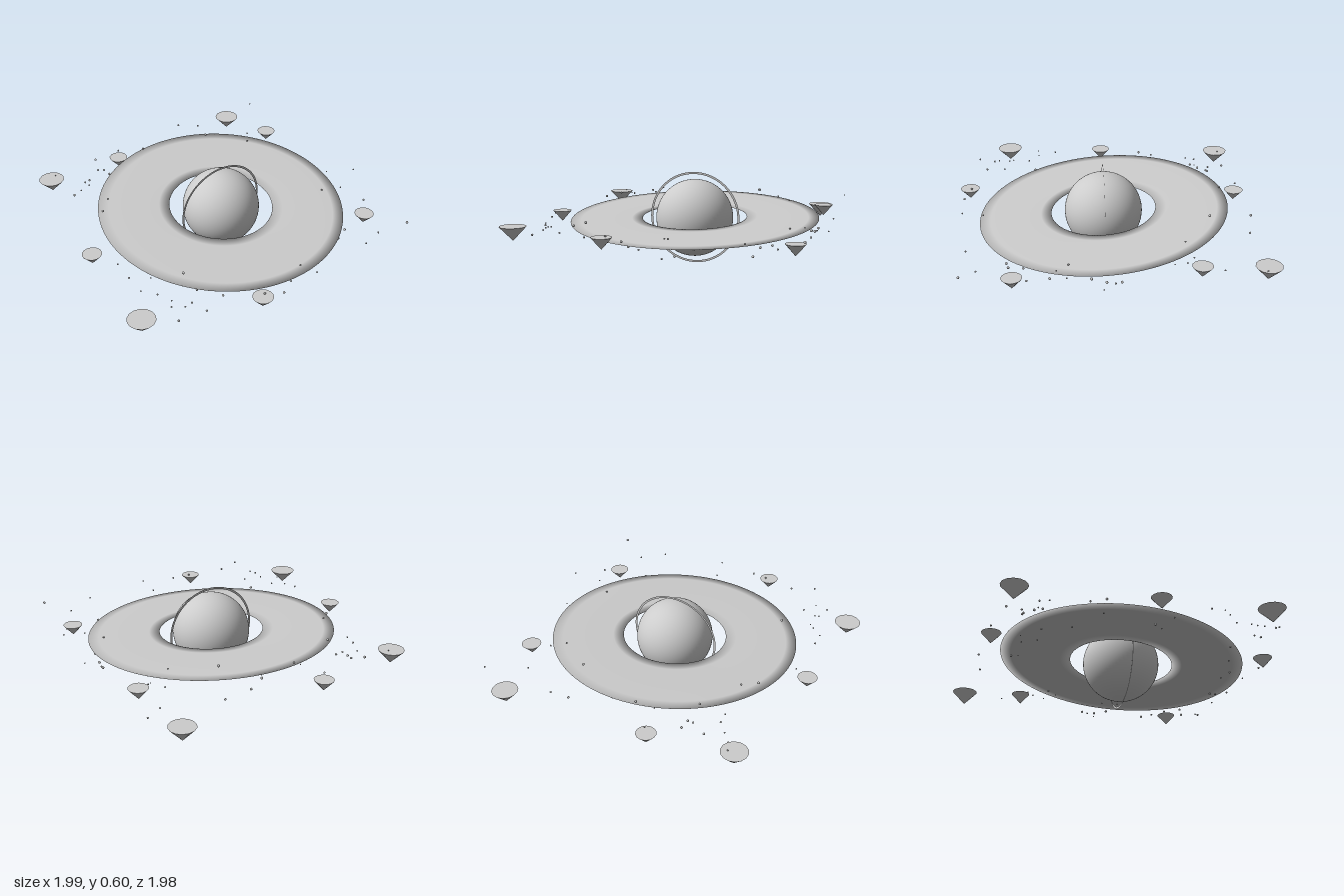
import * as THREE from 'three';

export function createModel() {
  const model = new THREE.Group();
  model.name = 'ringedPlanet';
  const grey = new THREE.MeshStandardMaterial({ color: 0xcccccc, side: THREE.DoubleSide });
  grey.name = 'light grey';
  const center = [0.067, 0.303, 0.036];

  function add(name, geometry, x, y, z, parent = model) {
    const mesh = new THREE.Mesh(geometry, grey);
    mesh.name = name;
    mesh.position.set(x, y, z);
    parent.add(mesh);
    return mesh;
  }

  // Planet and its flat upright halo
  add('planet', new THREE.SphereGeometry(0.25, 64, 48), ...center);
  add('halo', new THREE.RingGeometry(0.284, 0.298, 96), ...center);

  // Wide disc: a flattened torus, tipped down towards the front
  const disc = add('disc', new THREE.TorusGeometry(0.57, 0.232, 8, 128), 0.067, 0.31, 0.036);
  disc.rotation.x = Math.PI / 2 + 0.069;
  disc.scale.z = 0.018;

  // Floating islands: cones pointing down [x, top y, z, radius, height]
  const islands = new THREE.Group();
  islands.name = 'islands';
  model.add(islands);
  [
    [-0.745, 0.33, -0.815, 0.083, 0.09],
    [-0.205, 0.285, -0.865, 0.063, 0.072],
    [0.762, 0.278, -0.912, 0.083, 0.09],
    [0.835, 0.337, -0.505, 0.063, 0.072],
    [0.817, 0.28, 0.6, 0.063, 0.072],
    [-0.24, 0.323, 0.922, 0.063, 0.072],
    [-0.91, 0.31, 0.685, 0.085, 0.09],
    [-0.873, 0.305, 0.016, 0.063, 0.072],
  ].forEach(([x, top, z, r, h]) => {
    const geometry = new THREE.ConeGeometry(r, h, 14).rotateX(Math.PI);
    add('island', geometry, x, top - h / 2, z, islands);
  });

  // Small debris around the disc, x and z in hundredths
  const debris = new THREE.Group();
  debris.name = 'debris';
  model.add(debris);
  let seed = 7;
  const random = () => (seed = (seed * 16807) % 2147483647) / 2147483647;
  const pebble = (x, y, z) =>
    add('pebble', new THREE.IcosahedronGeometry(0.004 + 0.005 * random(), 1), x, y, z, debris);
  const spots = [
    -65, -68, -61, -65, -58, -64, -51, -72, -44, -72, -40, -71, -58, -58, -42, -59,
    -71, -83, -20, -87, -41, -81, -7, -74, 31, -88, 46, -85, 37, -61, 61, -43,
    94, -86, 77, -65, 74, -43, -57, -33, -65, -25, -76, 13, -80, 35, -79, 47,
    -72, 47, -72, 54, -51, 49, -69, 65, -71, 68, -59, 71, -73, 79, -66, 75,
    -60, 88, -45, 82, -22, 91, -11, 95, 12, 81, 14, 94, 58, 88, 75, 81,
    91, 89, 62, 64, 73, 27, 94, 7, 99, 28, 83, 34, 89, 51,
  ];
  for (let i = 0; i < spots.length; i += 2) {
    const x = spots[i] / 100, z = spots[i + 1] / 100;
    // pebbles over the disc stay above its surface
    const overDisc = Math.hypot(x - 0.067, z - 0.036) < 0.8;
    const y = overDisc ? 0.32 - 0.069 * z + 0.05 * random() : 0.24 + 0.14 * random();
    pebble(x, y, z);
  }
  // Debris beneath the disc
  for (let i = 0; i < 30; i++) {
    const angle = random() * Math.PI * 2, r = 0.62 + 0.18 * random();
    const z = 0.036 + r * Math.sin(angle);
    pebble(0.067 + r * Math.cos(angle), 0.295 - 0.069 * z - 0.06 * random(), z);
  }

  return model;
}
